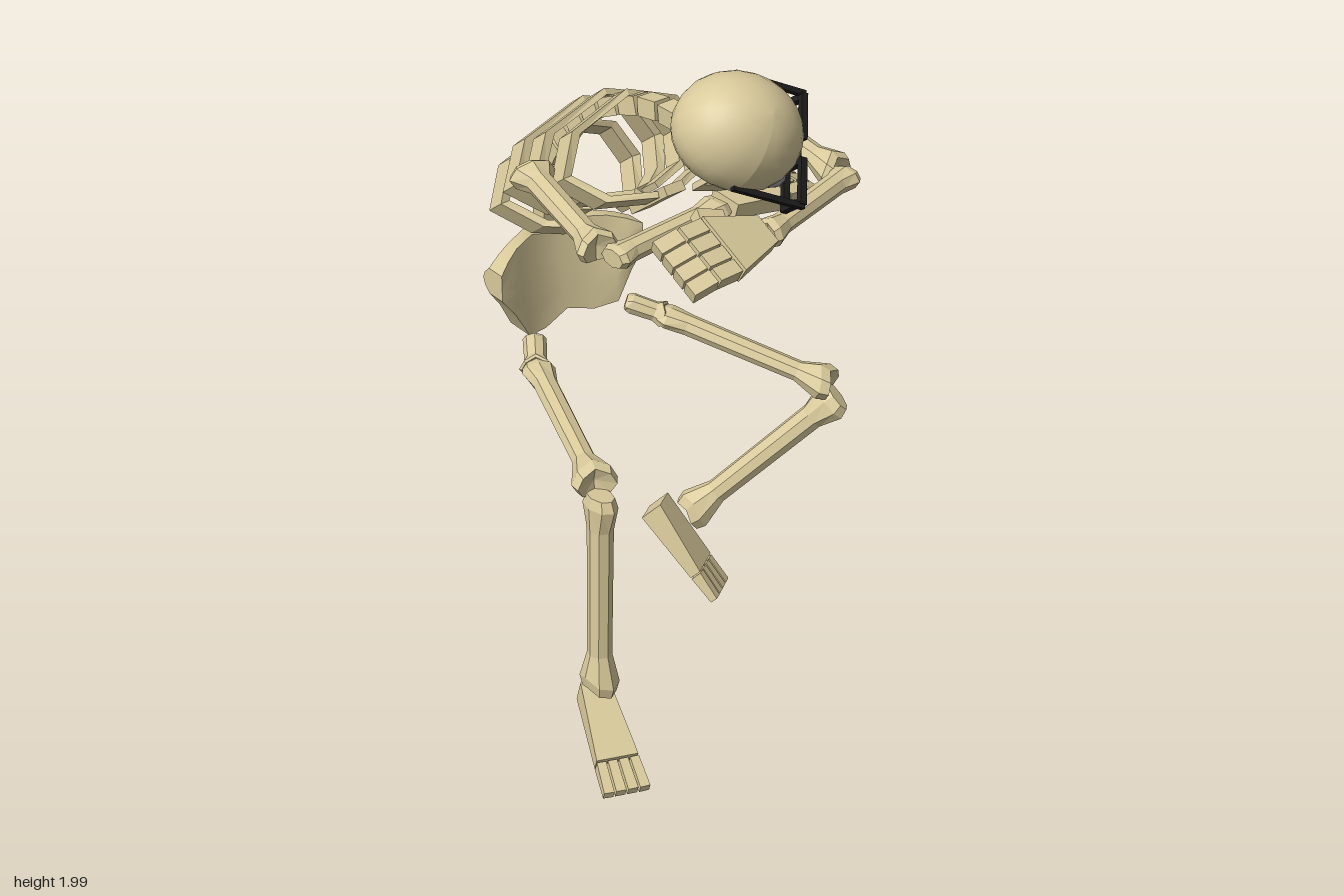
import * as THREE from 'three';
import { toCreasedNormals } from 'three/addons/utils/BufferGeometryUtils.js';

const V = (p) => new THREE.Vector3(...p);
const lerp = THREE.MathUtils.lerp;

export function createModel() {
  const root = new THREE.Group();
  root.name = 'skeleton';
  const color = 0xd9ca9b;
  const bone = new THREE.MeshStandardMaterial({ color, flatShading: true, side: THREE.DoubleSide });
  const smooth = new THREE.MeshStandardMaterial({ color });
  const black = new THREE.MeshStandardMaterial({ color: 0x1c1c1c });
  const grey = new THREE.MeshStandardMaterial({ color: 0x9a9ca0 });

  const add = (parent, name, geo, mat = bone) => {
    const m = new THREE.Mesh(geo, mat);
    m.name = name;
    parent.add(m);
    return m;
  };
  // Local z points along dir, local y as near to up as possible
  const orient = (obj, pos, dir, up = [0, 1, 0]) => {
    const z = V(dir).normalize();
    const x = V(up).cross(z).normalize();
    const y = z.clone().cross(x);
    obj.quaternion.setFromRotationMatrix(new THREE.Matrix4().makeBasis(x, y, z));
    obj.position.set(...pos);
    return obj;
  };
  const group = (name, pos, dir, up) => {
    const g = new THREE.Group();
    g.name = name;
    root.add(g);
    return orient(g, pos, dir, up);
  };
  const reshape = (geo, rule) => {
    const p = geo.attributes.position;
    for (let i = 0; i < p.count; i++) {
      p.setXYZ(i, ...rule(p.getX(i), p.getY(i), p.getZ(i)));
    }
    geo.computeVertexNormals();
    return geo;
  };
  const box = (parent, name, size, pos, mat) => {
    const m = add(parent, name, new THREE.BoxGeometry(...size), mat);
    m.position.set(...pos);
    return m;
  };
  // Wedge from z = 0 to len with its sole on y = 0
  const wedge = (len, w0, w1, h0, h1) => reshape(new THREE.BoxGeometry(1, 1, 1), (x, y, z) =>
    [x * lerp(w0, w1, z + 0.5), (y + 0.5) * lerp(h0, h1, z + 0.5), (z + 0.5) * len]);

  // Long bone: faceted shaft with a flattened near end and a forked far end
  const longBone = (name, a, b, r, e0, e1, up) => {
    const dir = V(b).sub(V(a));
    const L = dir.length();
    const prof = [[0, 0], [e0 * 0.8, 0], [e0, 0.05], [r, 0.17], [r * 0.95, 0.83], [e1, 0.94], [e1 * 0.85, 1], [0, 0.98]];
    const geo = new THREE.LatheGeometry(prof.map(([x, t]) => new THREE.Vector2(x, t * L)), 8);
    geo.rotateX(Math.PI / 2);
    reshape(geo, (x, y, z) => {
      const t = z / L;
      if (t > 0.9) return [x * 1.15, y * 0.9, z + Math.abs(x) * 0.5];
      return [x, y * (t < 0.1 ? 0.65 : 0.9), z];
    });
    orient(add(root, name, geo), a, dir.toArray(), up);
  };

  // Curved strip of height h along a path, thickened towards (0, zc)
  const band = (path, h, zc, k) => {
    const pos = [], idx = [];
    path.forEach(([x, y, z], i) => {
      const xi = x * k, zi = zc + (z - zc) * k;
      pos.push(x, y + h / 2, z, x, y - h / 2, z, xi, y - h / 2, zi, xi, y + h / 2, zi);
      if (i === path.length - 1) return;
      for (let c = 0; c < 4; c++) {
        const p = i * 4 + c, q = i * 4 + (c + 1) % 4;
        idx.push(p, q, p + 4, q, q + 4, p + 4);
      }
    });
    const e = (path.length - 1) * 4;
    idx.push(0, 2, 1, 0, 3, 2, e, e + 1, e + 2, e, e + 2, e + 3);
    const g = new THREE.BufferGeometry();
    g.setAttribute('position', new THREE.Float32BufferAttribute(pos, 3));
    g.setIndex(idx);
    g.computeVertexNormals();
    return g;
  };
  const mirrorPath = (half) => [...half, ...half.slice(0, -1).reverse().map(([x, y, z]) => [-x, y, z])];

  // Pelvis: bent plate with flared wings and a hollow front
  const px = [0, 0.09, 0.165, 0.215, 0.26];
  const top = [1.18, 1.21, 1.2, 1.185, 1.165];
  const bottom = [0.95, 0.92, 0.93, 1.02, 1.08];
  const pelvis = reshape(new THREE.BoxGeometry(2, 2, 2, 8, 4, 1), (x, y, z) => {
    const i = Math.round(Math.abs(x) * 4);
    const back = -0.57 + 0.37 * px[i] + 0.03 * y * y;
    const front = Math.min(-0.38, -0.475 + 1.45 * px[i] ** 2 + 0.03 * (1 - y));
    return [Math.sign(x) * px[i] + 0.01, lerp(bottom[i], top[i], (y + 1) / 2), z < 0 ? back : front];
  });
  add(root, 'pelvis', toCreasedNormals(pelvis, 0.6), smooth);

  // Spine
  const spine = new THREE.CatmullRomCurve3([
    [0.01, 1.2, -0.515], [0.01, 1.3, -0.51], [0.01, 1.42, -0.475], [0.01, 1.54, -0.4],
    [0.02, 1.64, -0.3], [0.03, 1.705, -0.185], [0.04, 1.745, -0.06], [0.04, 1.755, 0.07], [0, 1.76, 0.18],
  ].map(V));
  const count = 12;
  for (let i = 0; i < count; i++) {
    const t = (i + 0.3) / count;
    const g = group('vertebra', spine.getPointAt(t).toArray(), spine.getTangentAt(t).toArray(), [0, 0.7, -0.7]);
    box(g, 'vertebraBody', [0.056, 0.055, 0.072], [0, 0, 0]);
  }

  // Ribcage, leaning forward, each rib sagging at the side
  const chestUp = [0, 0.61, 0.79], chestFront = [0, -0.79, 0.61];
  const ribs = [[1.545, -0.43, 0.95], [1.645, -0.34, 1], [1.705, -0.24, 1], [1.74, -0.14, 0.92]];
  ribs.forEach(([y, z, s], i) => {
    const end = i < 2 ? 0.11 : 0.04;
    const half = [[end, 0, 0.29], [0.19, -0.04, 0.25], [0.265, -0.09, 0.145], [0.2, -0.05, 0.035], [0, 0, -0.022]];
    const g = group('ribPair', [0.01, y, z], chestFront, chestUp);
    g.scale.x = s;
    add(g, 'ribs', band(mirrorPath(half), 0.076, 0.14, 0.88));
  });
  const sternum = group('breastbone', [0.01, 1.5, 0.01], chestFront, chestUp);
  box(sternum, 'sternum', [0.065, 0.2, 0.03], [0, 0, 0]);

  // Arms, folded across each other under the head
  longBone('leftUpperArm', [0.33, 1.69, -0.09], [0.42, 1.565, 0.28], 0.037, 0.07, 0.054);
  longBone('rightUpperArm', [-0.32, 1.63, -0.13], [-0.38, 1.58, 0.25], 0.039, 0.07, 0.054);
  longBone('leftForearm', [0.43, 1.565, 0.33], [0.05, 1.55, 0.43], 0.035, 0.05, 0.044);
  longBone('rightForearm', [-0.37, 1.565, 0.3], [0.01, 1.57, 0.265], 0.035, 0.05, 0.044);

  const hand = (name, pos, dir, up, thumbSide) => {
    const g = group(name, pos, dir, up);
    add(g, 'palm', wedge(0.17, 0.09, 0.19, 0.045, 0.05));
    for (let f = 0; f < 4; f++) {
      const x = (f - 1.5) * 0.048;
      for (let s = 0; s < 2; s++) {
        const seg = box(g, 'fingerSegment', [0.042, 0.042, 0.075], [x, 0.022 - s * 0.018, 0.213 + s * 0.077]);
        seg.rotation.x = 0.12 + s * 0.25;
      }
    }
    const thumb = box(g, 'thumb', [0.042, 0.04, 0.08], [thumbSide * 0.095, 0.02, 0.13]);
    thumb.rotation.y = thumbSide * 0.4;
  };
  hand('leftHand', [0.02, 1.55, 0.44], [-0.97, 0.1, 0.1], [0, 0.88, 0.47], -1);
  hand('rightHand', [0.04, 1.55, 0.255], [0.97, -0.08, -0.2], [0, 0.95, 0.2], 1);

  // Legs
  const leg = (side, hip, neck, knee, shinTop, ankle) => {
    longBone(side + 'HipJoint', hip, neck, 0.035, 0.035, 0.043);
    longBone(side + 'Thigh', neck, knee, 0.036, 0.05, 0.058);
    longBone(side + 'Shin', shinTop, ankle, 0.04, 0.062, 0.057, [1, 0, 0]);
  };
  leg('left', [0.175, 0.945, -0.345], [0.25, 0.91, -0.27], [0.53, 0.77, 0.17], [0.55, 0.73, 0.2], [0.23, 0.3, -0.085]);
  leg('right', [-0.165, 0.945, -0.345], [-0.23, 0.92, -0.25], [-0.42, 0.875, 0.28], [-0.425, 0.85, 0.31], [-0.452, 0.225, 0.33]);

  const foot = (name, pos, dir, up) => {
    const g = group(name, pos, dir, up);
    add(g, 'footBody', wedge(0.24, 0.085, 0.125, 0.08, 0.04));
    for (let i = 0; i < 4; i++) {
      const toe = add(g, 'toe', wedge(0.095, 0.027, 0.03, 0.038, 0.025));
      toe.position.set((i - 1.5) * 0.033, 0, 0.245);
      toe.rotation.y = (i - 1.5) * 0.03;
    }
  };
  foot('rightFoot', [-0.425, 0.11, 0.25], [-0.11, -0.105, 0.31], [0, 1, 0.2]);
  foot('leftFoot', [0.14, 0.265, -0.205], [0.11, -0.23, 0.205], [0.5, 0.55, 0.6]);

  // Head, bowed and turned towards its left
  const head = group('head', [0.015, 1.825, 0.337], [0.87, -0.43, 0.24], [0.08, 0.61, 0.79]);
  const cranium = reshape(new THREE.SphereGeometry(1, 24, 16), (x, y, z) => {
    const narrow = y < 0 ? 1 + 0.12 * y : 1;
    return [x * 0.16 * narrow, y * (y < 0 ? 0.15 : 0.165), z * 0.183];
  });
  add(head, 'cranium', cranium, smooth);
  const face = add(head, 'face', reshape(new THREE.BoxGeometry(0.22, 0.15, 0.15), (x, y, z) => {
    const low = 0.5 - y / 0.15;
    return [x * lerp(1, 0.6, low) * (z > 0 ? 0.85 : 1), y, z];
  }));
  face.position.set(0, -0.1, 0.095);
  const jawHalf = [[-0.115, -0.07, -0.02], [-0.105, -0.17, 0.0], [-0.07, -0.2, 0.12], [0, -0.205, 0.16]];
  add(head, 'jaw', band(mirrorPath(jawHalf), 0.055, 0, 0.8));

  // Eyes and glasses
  const rect = (T, w, h) => new T([[-w, -h], [w, -h], [w, h], [-w, h]].map(([x, y]) => new THREE.Vector2(x, y)));
  const rim = rect(THREE.Shape, 0.066, 0.046);
  rim.holes.push(rect(THREE.Path, 0.048, 0.029));
  const rimGeo = new THREE.ExtrudeGeometry(rim, { depth: 0.02, bevelEnabled: false });
  for (const s of [-1, 1]) {
    add(head, 'eye', new THREE.SphereGeometry(0.04, 12, 8), grey).position.set(s * 0.07, -0.035, 0.142);
    add(head, 'glassesRim', rimGeo, black).position.set(s * 0.092, -0.025, 0.197);
    box(head, 'glassesArm', [0.016, 0.016, 0.23], [s * 0.16, 0.008, 0.1], black);
  }
  box(head, 'glassesBridge', [0.06, 0.016, 0.018], [0, -0.012, 0.207], black);

  return root;
}
